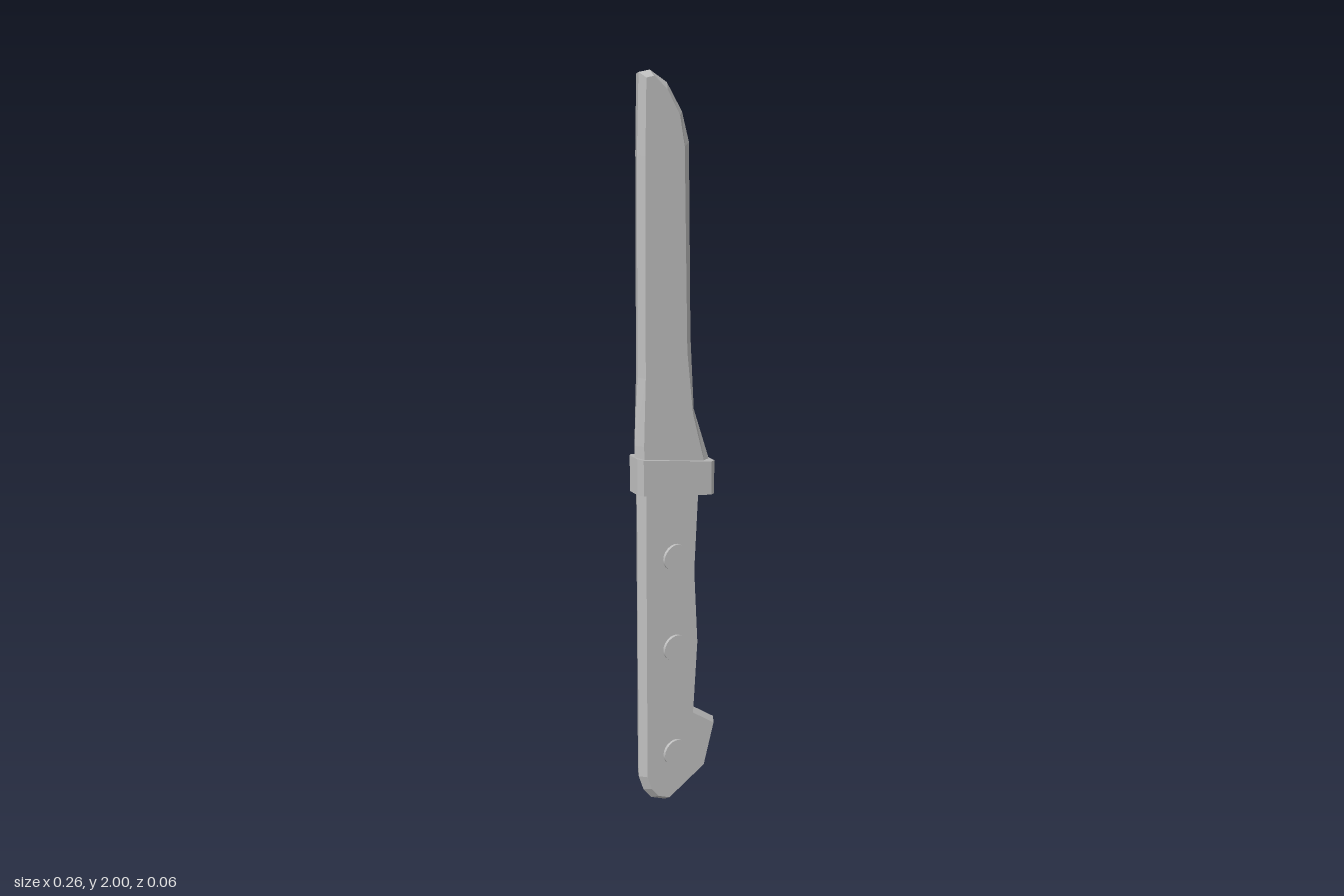
import * as THREE from 'three';

// Outline moved inwards by d, mitred at each corner (counter-clockwise input)
function inset(outline, d) {
  const n = outline.length;
  const normal = (a, b) => new THREE.Vector2(a[1] - b[1], b[0] - a[0]).normalize();
  return outline.map((p, i) => {
    const n1 = normal(outline[(i + n - 1) % n], p);
    const n2 = normal(p, outline[(i + 1) % n]);
    const k = d / (1 + n1.dot(n2));
    return [p[0] + (n1.x + n2.x) * k, p[1] + (n1.y + n2.y) * k];
  });
}

// Flat slab whose sides bevel from each face out to a middle edge
// of half thickness edge (0 makes a sharp ridge)
function bevelledSlab(outer, inner, half, edge = 0) {
  const pos = [];
  const n = outer.length;
  const rings = [[inner, half], [outer, edge], [outer, -edge], [inner, -half]];
  const put = (r, i) => pos.push(...rings[r][0][i % n], rings[r][1]);
  for (let r = 0; r < 3; r++) {
    if (r === 1 && edge === 0) continue;
    for (let i = 0; i < n; i++) {
      put(r, i); put(r + 1, i); put(r + 1, i + 1);
      put(r, i); put(r + 1, i + 1); put(r, i + 1);
    }
  }
  const faces = THREE.ShapeUtils.triangulateShape(inner.map((p) => new THREE.Vector2(...p)), []);
  for (const [a, b, c] of faces) {
    put(0, a); put(0, b); put(0, c);
    put(3, a); put(3, c); put(3, b);
  }
  const geometry = new THREE.BufferGeometry();
  geometry.setAttribute('position', new THREE.Float32BufferAttribute(pos, 3));
  geometry.computeVertexNormals();
  return geometry;
}

export function createModel() {
  const group = new THREE.Group();
  const steel = new THREE.MeshStandardMaterial({ color: 0xc0c0c0 });
  steel.name = 'grey';
  const add = (name, geometry) => {
    const mesh = new THREE.Mesh(geometry, steel);
    mesh.name = name;
    group.add(mesh);
    return mesh;
  };

  // Blade: wide ground bevel on the cutting side, narrow one on the spine
  const bladeEdge = [
    [-0.125, 0.95], [0.115, 0.925], [0.058, 1.1], [0.047, 1.3], [0.041, 1.8], [0.02, 1.88],
    [-0.025, 1.96], [-0.075, 2.0], [-0.108, 2.0], [-0.114, 1.8], [-0.116, 1.23], [-0.127, 1.05],
  ];
  const bladeFace = [
    [-0.11, 0.95], [0.085, 0.925], [0.04, 1.1], [0.022, 1.27], [0.013, 1.8], [-0.001, 1.88],
    [-0.038, 1.95], [-0.078, 1.99], [-0.1, 1.99], [-0.104, 1.8], [-0.106, 1.23], [-0.112, 1.05],
  ];
  add('blade', bevelledSlab(bladeEdge, bladeFace, 0.02));

  // Handle with finger grip and hooked butt
  const handleEdge = [
    [-0.035, 0], [0.09, 0.065], [0.126, 0.195], [0.056, 0.25], [0.069, 0.45], [0.058, 0.66],
    [0.071, 0.9], [-0.12, 0.95], [-0.12, 0.1], [-0.105, 0.055], [-0.08, 0.022],
  ];
  add('handle', bevelledSlab(handleEdge, inset(handleEdge, 0.013), 0.021));

  // Slanted guard collar with chamfered ends
  const guardEdge = [[-0.13, 0.922], [0.112, 0.858], [0.112, 0.95], [-0.13, 1.02]];
  const guardFace = [[-0.118, 0.919], [0.095, 0.8625], [0.095, 0.955], [-0.118, 1.0165]];
  add('guard', bevelledSlab(guardEdge, guardFace, 0.026, 0.016));

  // Rivets pass right through the handle
  for (const y of [0.72, 0.46, 0.15]) {
    const rivet = add('rivet', new THREE.CylinderGeometry(0.035, 0.035, 0.056, 20));
    rivet.rotation.x = Math.PI / 2;
    rivet.position.set(-0.02, y, 0);
  }
  return group;
}
